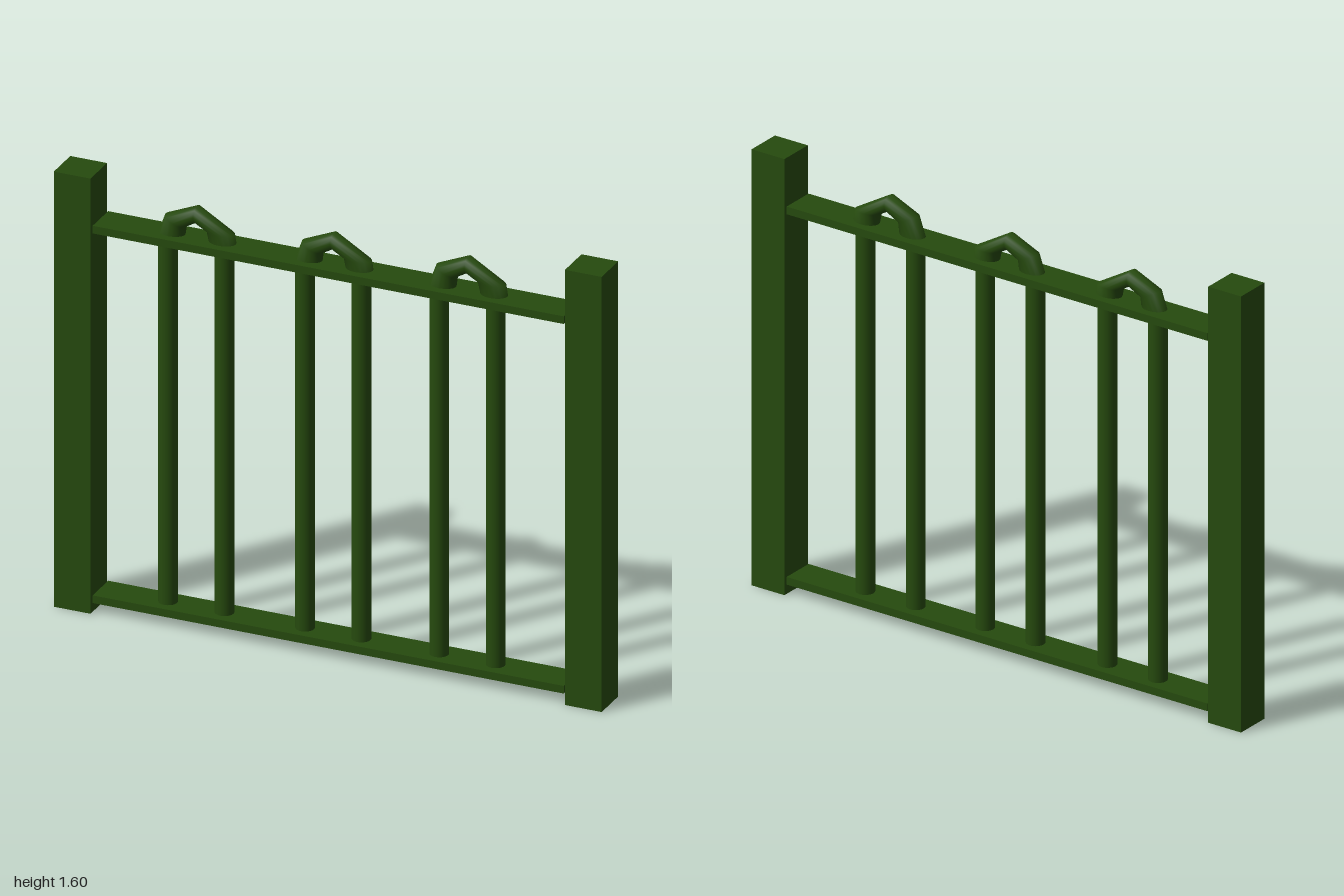
import * as THREE from 'three';

const green = new THREE.MeshStandardMaterial({ color: 0x264a0e });

// Bent pipe swept through mitred elliptical rings: [outerX, outerY, innerX, innerY]
function archGeometry() {
  const rings = [
    [-0.147, 1.405, -0.046, 1.405],
    [-0.115, 1.492, -0.04, 1.457],
    [0, 1.541, 0, 1.481],
    [0.136, 1.46, 0.037, 1.46],
    [0.145, 1.405, 0.049, 1.405],
  ];
  const sides = 16, halfDepth = 0.034;
  const positions = [], index = [];
  rings.forEach(([ox, oy, ix, iy], i) => {
    for (let j = 0; j < sides; j++) {
      const a = (j / sides) * Math.PI * 2, c = Math.cos(a) / 2;
      positions.push((ox + ix) / 2 + (ox - ix) * c, (oy + iy) / 2 + (oy - iy) * c, halfDepth * Math.sin(a));
      if (i === rings.length - 1) continue;
      const k = (j + 1) % sides;
      const p = i * sides + j, q = i * sides + k;
      index.push(p, q, p + sides, q, q + sides, p + sides);
    }
  });
  const g = new THREE.BufferGeometry();
  g.setAttribute('position', new THREE.Float32BufferAttribute(positions, 3));
  g.setIndex(index);
  g.computeVertexNormals();
  return g;
}

export function createModel() {
  const model = new THREE.Group();
  model.name = 'fencePanel';

  const add = (name, geometry, x, y) => {
    const mesh = new THREE.Mesh(geometry, green);
    mesh.name = name;
    mesh.position.set(x, y, 0);
    model.add(mesh);
  };

  // Square end posts
  const post = new THREE.BoxGeometry(0.134, 1.6, 0.134);
  add('leftPost', post, 0.933, 0.8);
  add('rightPost', post, -0.933, 0.8);

  // Flat rails, stopping just short of the posts
  const rail = new THREE.BoxGeometry(1.72, 0.028, 0.126);
  add('bottomRail', rail, 0, 0.053);
  add('topRail', rail, 0, 1.412);

  // Three pairs of round bars, each pair crowned by a bent arch
  const bar = new THREE.CylinderGeometry(0.033, 0.033, 1.35, 20);
  const arch = archGeometry();
  [[-0.51, 0], [-0.01, 0], [0.48, 0.007]].forEach(([x, lift], i) => {
    add(`bar${i + 1}Right`, bar, x - 0.103, 0.732);
    add(`bar${i + 1}Left`, bar, x + 0.103, 0.732);
    add(`arch${i + 1}`, arch, x + 0.003, lift);
  });

  return model;
}
